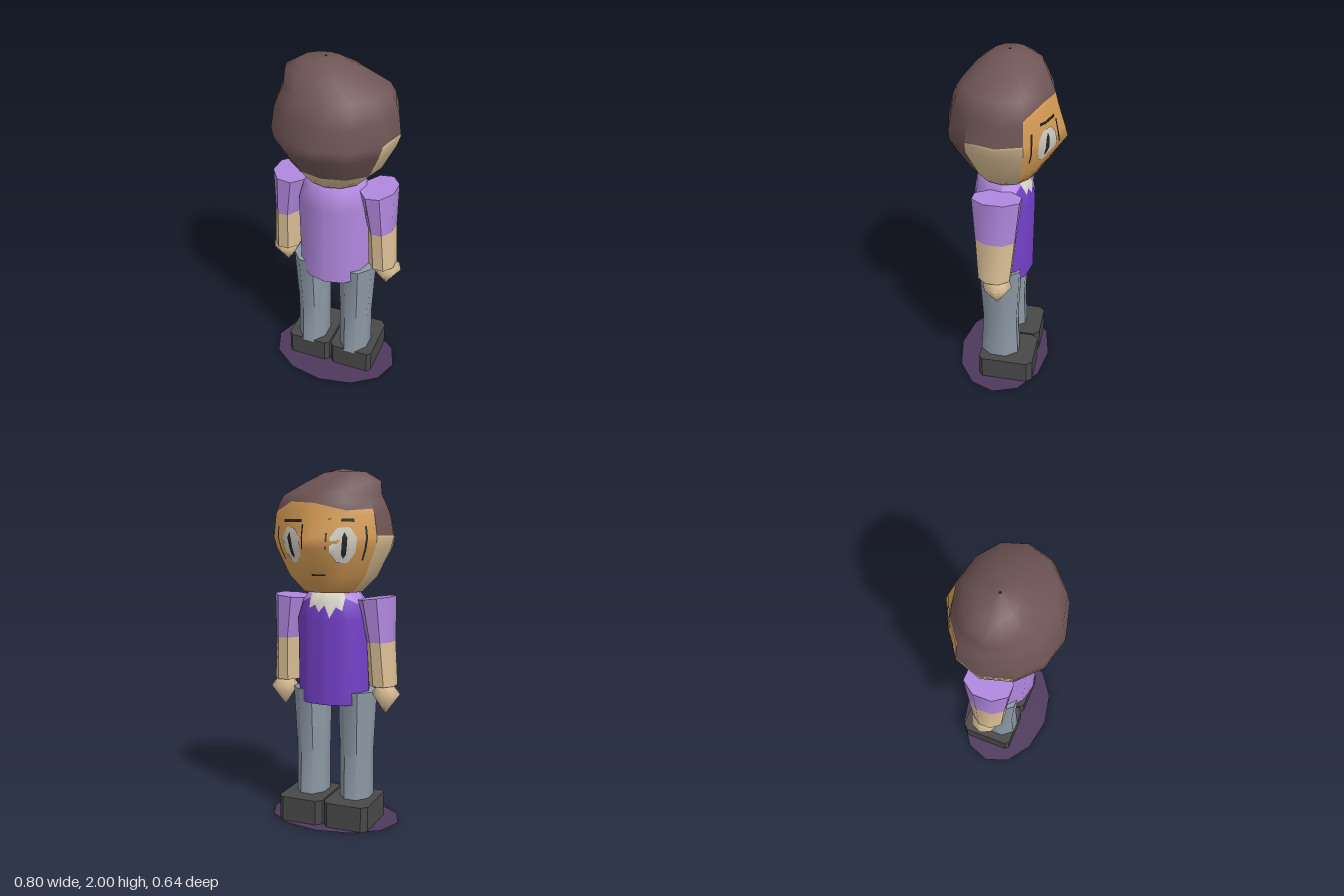
import * as THREE from 'three';
import { mergeVertices, toCreasedNormals } from 'three/addons/utils/BufferGeometryUtils.js';

const mat = (name, color, side = THREE.FrontSide) => {
  const m = new THREE.MeshStandardMaterial({ color, side });
  m.name = name;
  return m;
};

// Cross-sections: y, right half width, left half width, back depth, front depth at 60 degrees, front depth
const HEAD = [
  [1.325, 0.02, 0.02, 0.02, 0.015, 0.02],
  [1.33, 0.17, 0.17, 0.16, 0.13, 0.16],
  [1.42, 0.26, 0.26, 0.22, 0.18, 0.22],
  [1.57, 0.335, 0.335, 0.32, 0.22, 0.32],
  [1.63, 0.35, 0.355, 0.32, 0.225, 0.303],
  [1.75, 0.33, 0.34, 0.295, 0.22, 0.265],
  [1.81, 0.305, 0.32, 0.27, 0.215, 0.25],
  [1.86, 0.28, 0.29, 0.235, 0.195, 0.23],
  [1.93, 0.275, 0.155, 0.17, 0.15, 0.18],
  [1.98, 0.19, 0.05, 0.1, 0.085, 0.1],
  [2.0, 0.06, -0.05, 0.005, 0.004, 0.005],
];
const TORSO = [
  [0.695, 0.02, 0.02, 0.02, 0.015, 0.02],
  [0.7, 0.21, 0.21, 0.185, 0.13, 0.15],
  [1.18, 0.215, 0.215, 0.19, 0.135, 0.155],
  [1.28, 0.185, 0.185, 0.175, 0.115, 0.135],
  [1.33, 0.15, 0.15, 0.13, 0.09, 0.105],
  [1.335, 0.02, 0.02, 0.02, 0.015, 0.02],
];

// Corner k of the twelve-sided section at height y; k = 3 is the face, k = 9 the back of the head
function corner(table, k, y) {
  let i = 1;
  while (i < table.length - 1 && y > table[i][0]) i++;
  const a = table[i - 1], b = table[i];
  const t = (y - a[0]) / (b[0] - a[0]);
  const [, r, l, back, f60, front] = a.map((v, n) => v + (b[n] - v) * t);
  const ang = k * Math.PI / 6;
  const x = (l - r) / 2 + (l + r) / 2 * Math.cos(ang);
  const s = Math.sin(ang);
  if (s < 1e-6) return [x, y, -s * back];
  const depth = s > 0.9 ? front : s > 0.7 ? f60 : f60 * 0.6;
  return [x, y, -depth];
}

function surface(table, k, y, grow) {
  const k0 = Math.floor(k + 1e-6), t = Math.max(0, k - k0);
  const a = corner(table, (k0 + 12) % 12, y), b = corner(table, (k0 + 13) % 12, y);
  const p = a.map((v, n) => v + (b[n] - v) * t);
  return [p[0] * grow, y, p[2] * grow];
}

// Patch of a body surface between columns [k, low y, high y]
function patch(table, cols, grow = 1) {
  const ys = table.map(r => r[0]);
  const pos = [], index = [], n = ys.length + 2;
  cols.forEach(([k, lo, hi], i) => {
    const rows = [lo, ...ys.map(y => Math.min(hi, Math.max(lo, y))), hi];
    rows.forEach((y, j) => {
      pos.push(...surface(table, k, y, grow));
      if (i && j) {
        const a = (i - 1) * n + j - 1, b = i * n + j - 1;
        index.push(a, b, b + 1, a, b + 1, a + 1);
      }
    });
  });
  let g = new THREE.BufferGeometry();
  g.setAttribute('position', new THREE.Float32BufferAttribute(pos, 3));
  g.setIndex(index);
  g = mergeVertices(g, 1e-5);
  g.computeVertexNormals();
  return g;
}
const span = (k0, k1, lo, hi) => {
  const cols = [[k0, lo, hi]];
  for (let k = Math.floor(k0 + 1); k < k1; k++) cols.push([k, lo, hi]);
  cols.push([k1, lo, hi]);
  return cols;
};
const mirrorCols = cols => cols.map(([k, a, b]) => [6 - k, a, b]).reverse();

// Limb through sections [y, centre x, centre z, half width, half depth], top first
function limb(sections, sides = 8, turn = Math.PI / 8, crease = 0.85) {
  const n = sections.length - 1;
  const g = new THREE.CylinderGeometry(1, 1, 1, sides, n, false, turn);
  const p = g.attributes.position, fit = 1 / Math.cos(turn);
  for (let i = 0; i < p.count; i++) {
    const [y, cx, cz, rx, rz] = sections[Math.round((0.5 - p.getY(i)) * n)];
    p.setXYZ(i, cx + p.getX(i) * rx * fit, y, cz + p.getZ(i) * rz * fit);
  }
  return toCreasedNormals(g, crease);
}

export function createModel() {
  const hair = mat('hair brown', 0x6f5555);
  const skin = mat('skin tan', 0xdcc096);
  const faceTone = mat('face orange', 0xdba058);
  const lavender = mat('shirt lavender', 0xb188de);
  const purple = mat('shirt front purple', 0x7440c8);
  const denim = mat('trouser grey blue', 0x8d99a6);
  const shoeGrey = mat('shoe charcoal', 0x484848);
  const baseTone = mat('base dark violet', 0x4e385c, THREE.DoubleSide);
  const pale = mat('pale grey', 0xd8d3c8);
  const ink = mat('ink black', 0x262626);

  const model = new THREE.Group();
  const add = (name, geometry, material) => {
    const m = new THREE.Mesh(geometry, material);
    m.name = name;
    model.add(m);
  };

  // Head: hair cap, face and bare skin at the sides and nape
  const top = 2.0, chin = 1.325;
  const brow = [[1, 1.77], [2, 1.82], [3, 1.81], [4, 1.77], [5, 1.78]];
  add('hair', patch(HEAD, [
    [-1, 1.64, top], [0, 1.64, top], [1, 1.64, top],
    ...brow.map(([k, y]) => [k, y, top]),
    [5, 1.64, top], [6, 1.64, top], [7, 1.64, top],
    ...span(7, 11, 1.42, top),
  ]), hair);
  add('face', patch(HEAD, brow.map(([k, y]) => [k, chin, y])), faceTone);
  add('headSkin', patch(HEAD, [
    ...span(5, 7, chin, 1.64), ...span(7, 11, chin, 1.42), ...span(11, 13, chin, 1.64),
  ]), skin);
  add('neck', limb([[1.36, 0, 0, 0.11, 0.09], [1.28, 0, 0, 0.11, 0.09]]), skin);

  // Eyes and spectacles follow the face surface
  const details = [
    ['eye', [[1.7, 1.55, 1.63], [1.9, 1.5, 1.68], [2, 1.495, 1.685], [2.3, 1.5, 1.68], [2.5, 1.55, 1.63]], pale, 1.012],
    ['pupil', [[2.03, 1.54, 1.63], [2.1, 1.52, 1.66], [2.17, 1.54, 1.63]], ink, 1.022],
    ['spectacleTop', span(1.75, 2.55, 1.712, 1.728), ink, 1.012],
    ['spectacleOuter', span(1.33, 1.4, 1.51, 1.69), ink, 1.012],
    ['spectacleInner', span(2.58, 2.63, 1.57, 1.7), ink, 1.012],
  ];
  for (const [name, cols, material, grow] of details) {
    add(name + 'Left', patch(HEAD, cols, grow), material);
    add(name + 'Right', patch(HEAD, mirrorCols(cols), grow), material);
  }
  add('mouth', patch(HEAD, span(2.7, 3.3, 1.425, 1.435), 1.012), ink);

  // Shirt: lavender shell, purple front and ragged pale collar
  const edge = [[0, 1.27], [1, 1.27], [1.7, 1.3], [2, 1.24], [2.35, 1.26], [2.65, 1.22],
    [3, 1.26], [3.3, 1.19], [3.65, 1.25], [4, 1.23], [4.3, 1.3], [5, 1.27], [6, 1.27]];
  const collar = edge.slice(2, 11);
  const shirtTop = 1.335, hem = 0.7;
  add('shirtBack', patch(TORSO, span(6, 12, hem, shirtTop)), lavender);
  add('shirtFront', patch(TORSO, edge.map(([k, y]) => [k, hem, y])), purple);
  add('shirtUnderside', patch(TORSO, span(0, 12, 0.695, hem)), lavender);
  add('collar', patch(TORSO, collar.map(([k, y]) => [k, y, shirtTop])), pale);
  add('shoulderLeft', patch(TORSO, edge.slice(0, 3).map(([k, y]) => [k, y, shirtTop])), lavender);
  add('shoulderRight', patch(TORSO, edge.slice(10).map(([k, y]) => [k, y, shirtTop])), lavender);

  // Arms, legs and shoes, mirrored
  for (const s of [1, -1]) {
    const side = s > 0 ? 'Left' : 'Right';
    const sleeve = limb([[1.3, s * 0.255, 0.01, 0.095, 0.128], [1.06, s * 0.28, 0.012, 0.071, 0.108]]);
    const p = sleeve.attributes.position;
    for (let i = 0; i < p.count; i++) {
      if (p.getY(i) > 1.2) p.setY(i, 1.3 + (Math.abs(p.getX(i)) - 0.255) * 0.12);
    }
    add('sleeve' + side, sleeve, lavender);
    add('forearm' + side, limb([[1.06, s * 0.28, 0.012, 0.07, 0.107], [0.81, s * 0.293, 0.017, 0.073, 0.088]]), skin);
    add('hand' + side, limb([
      [0.82, s * 0.312, 0, 0.04, 0.04], [0.765, s * 0.316, 0, 0.082, 0.082], [0.65, s * 0.312, 0, 0.003, 0.003],
    ], 8, 0, 1.6), skin);
    add('leg' + side, limb([
      [0.77, s * 0.14, 0.015, 0.1, 0.117], [0.4, s * 0.135, 0.015, 0.088, 0.1], [0.13, s * 0.137, 0.018, 0.087, 0.113],
    ]), denim);

    const outline = [[0.03, 0.13], [0.25, 0.13], [0.272, 0.108], [0.272, -0.165],
      [0.24, -0.197], [0.035, -0.197], [0.005, -0.165], [0.005, 0.108]];
    const shape = new THREE.Shape(outline.map(([x, z]) => new THREE.Vector2(s * x, -z)));
    const shoe = new THREE.ExtrudeGeometry(shape, { depth: 0.145, bevelEnabled: false });
    add('shoe' + side, shoe.rotateX(-Math.PI / 2), shoeGrey);
  }

  // Flat oval under the feet
  const base = new THREE.CircleGeometry(1, 12).rotateX(-Math.PI / 2);
  add('base', base.scale(0.39, 1, 0.28).translate(0, 0.004, 0.017), baseTone);
  return model;
}
